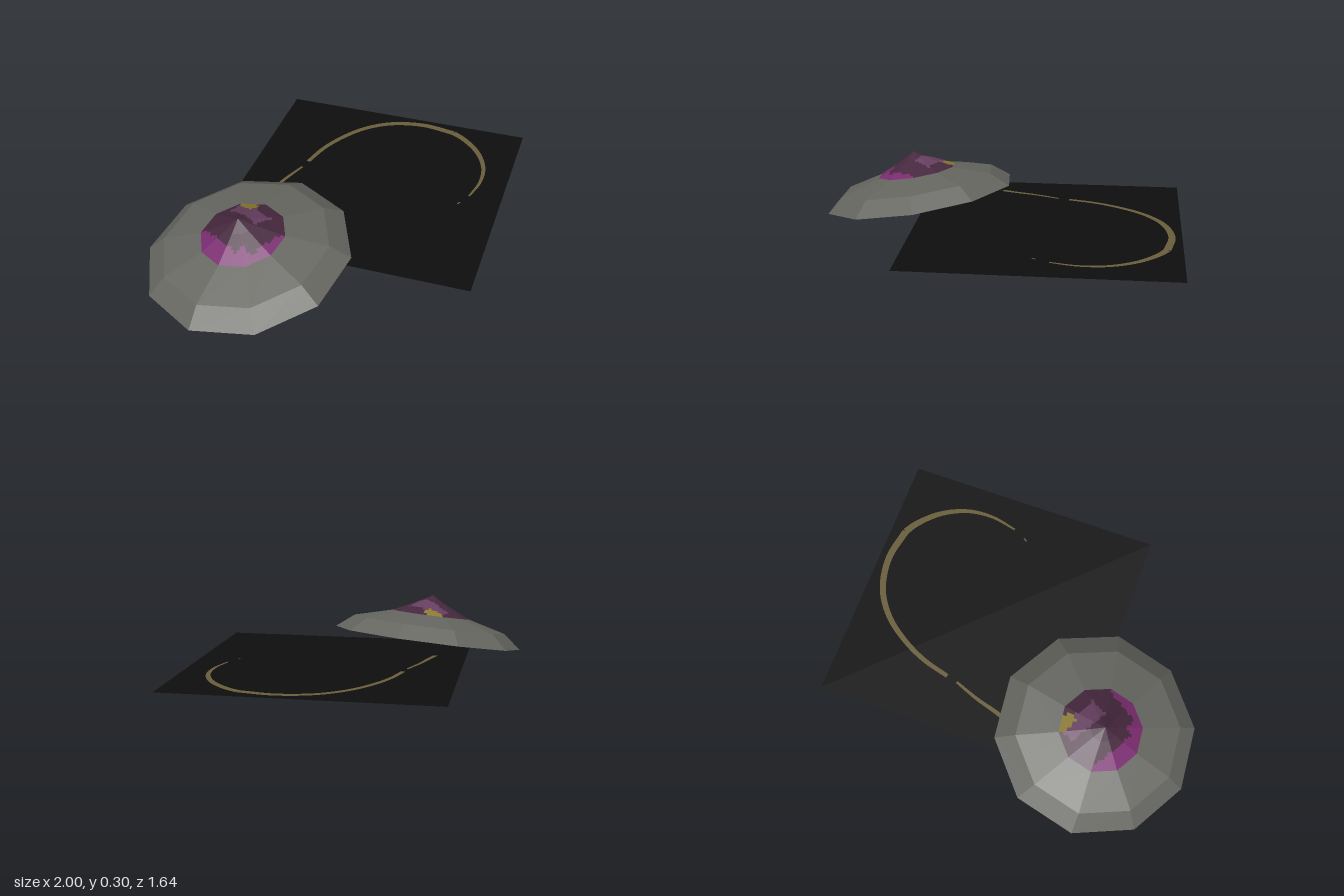
import * as THREE from 'three';

const mat = (name, color, extra = {}) => {
  const m = new THREE.MeshStandardMaterial({ color, ...extra });
  m.name = name;
  return m;
};

const SIDES = 10;

// Point on a ten-sided ring; t is the side index plus the fraction along that side
function ringPoint(r, y, t) {
  const k = Math.floor(t), f = t - k, step = (Math.PI * 2) / SIDES;
  const a = k * step, b = (k + 1) * step;
  return new THREE.Vector3(
    r * (Math.sin(a) * (1 - f) + Math.sin(b) * f), y,
    r * (Math.cos(a) * (1 - f) + Math.cos(b) * f));
}

// Faceted surface through [radius, height] rings, sorted into colour groups by pick(x, z)
function patchwork(profile, bands, cuts, count, pick) {
  const lists = Array.from({ length: count }, () => []);
  const rings = [];
  for (let i = 0; i < profile.length - 1; i++)
    for (let j = 0; j < bands; j++)
      rings.push(profile[i].map((v, n) => THREE.MathUtils.lerp(v, profile[i + 1][n], j / bands)));
  rings.push(profile[profile.length - 1]);
  for (let i = 0; i < rings.length - 1; i++)
    for (let s = 0; s < SIDES * cuts; s++) {
      const t0 = s / cuts, t1 = (s + 1) / cuts - 1e-7;
      const a = ringPoint(...rings[i], t0), b = ringPoint(...rings[i], t1);
      const c = ringPoint(...rings[i + 1], t1), d = ringPoint(...rings[i + 1], t0);
      const list = lists[pick((a.x + b.x + c.x + d.x) / 4, (a.z + b.z + c.z + d.z) / 4)];
      for (const p of [a, b, c]) list.push(p.x, p.y, p.z);
      if (rings[i + 1][0] > 0) for (const p of [a, c, d]) list.push(p.x, p.y, p.z);
    }
  const g = new THREE.BufferGeometry();
  g.setAttribute('position', new THREE.Float32BufferAttribute(lists.flat(), 3));
  let start = 0;
  lists.forEach((l, i) => {
    g.addGroup(start, l.length / 3, i);
    start += l.length / 3;
  });
  g.computeVertexNormals();
  return g;
}

// Flat ribbon along [x, z] points, tapering from width w0 to w1
function ribbon(points, w0, w1) {
  const curve = new THREE.CatmullRomCurve3(points.map(([x, z]) => new THREE.Vector3(x, -z, 0)));
  const n = 48, left = [], right = [];
  for (let i = 0; i <= n; i++) {
    const p = curve.getPointAt(i / n), d = curve.getTangentAt(i / n);
    const w = THREE.MathUtils.lerp(w0, w1, i / n) / 2;
    left.push(new THREE.Vector2(p.x - d.y * w, p.y + d.x * w));
    right.unshift(new THREE.Vector2(p.x + d.y * w, p.y - d.x * w));
  }
  return new THREE.ShapeGeometry(new THREE.Shape([...left, ...right])).rotateX(-Math.PI / 2);
}

export function createModel() {
  const model = new THREE.Group();
  const flat = { flatShading: true };
  const hullGrey = mat('hull grey', 0x666661, flat);
  const plum = mat('dark plum', 0x46283e, flat);
  const magenta = mat('magenta', 0x7a2c70, flat);
  const mauve = mat('mauve', 0x663f60, flat);
  const gold = mat('gold', 0x8c7a30, flat);
  const underGrey = mat('underside grey', 0x424240, flat);
  const olive = mat('olive', 0x5e521f, flat);
  const black = mat('black', 0x0e0e0e, { side: THREE.DoubleSide });
  const tan = mat('tan', 0x6a5e3b, { side: THREE.DoubleSide });

  const add = (parent, name, geometry, material) => {
    const mesh = new THREE.Mesh(geometry, material);
    mesh.name = name;
    parent.add(mesh);
    return mesh;
  };

  // Tilted saucer
  const saucer = new THREE.Group();
  saucer.name = 'saucer';
  saucer.position.set(-0.57, 0.086, 0);
  saucer.rotation.z = Math.atan(0.2);
  model.add(saucer);

  add(saucer, 'rim', new THREE.CylinderGeometry(0.375, 0.461, 0.068, SIDES, 1, true), hullGrey).position.y = 0.034;
  add(saucer, 'upperHull', new THREE.CylinderGeometry(0.19, 0.375, 0.049, SIDES, 1, true), hullGrey).position.y = 0.0925;

  // Pointed cockpit dome with coloured patches
  const domeColour = (x, z) => {
    if (x > 0.1 && x < 0.15 && z > -0.15 && z < -0.06) return 3;
    if (x > 0.045 && x < 0.125 && z > -0.14 && z < 0.05) return 2;
    if (x < -0.1 || (x < -0.06 && z > 0.08) || (z > 0.14 && x < 0.12)) return 1;
    return 0;
  };
  add(saucer, 'dome', patchwork([[0.19, 0.117], [0.06, 0.18], [0, 0.214]], 8, 6, 4, domeColour),
    [plum, magenta, mauve, gold]);

  // Flat underside with a dark panel, a band and fine lattice lines
  const underColour = (x, z) => {
    if (z > 0.29 && x < 0) return 2;
    if ((z > 0.17 && z < 0.29 && x < 0.08) || (z >= 0.29 && x < 0.05)) return 1;
    if (Math.hypot(x - 0.1, z - 0.15) < 0.04 || Math.hypot(x - 0.2, z - 0.07) < 0.03) return 3;
    const wave = 0.025 * Math.sin(x * 40);
    const cell = (v) => Math.abs(v / 0.14 - Math.round(v / 0.14));
    return cell(z + wave) < 0.08 || cell(z - wave) < 0.08 ? 1 : 0;
  };
  const under = patchwork([[0.461, 0], [0, 0]], 44, 18, 4, underColour);
  // Turn the disc to face downward by swapping two corners of each triangle
  const p = under.attributes.position;
  for (let i = 0; i < p.count; i += 3) {
    const b = [p.getX(i + 1), p.getY(i + 1), p.getZ(i + 1)];
    p.setXYZ(i + 1, p.getX(i + 2), p.getY(i + 2), p.getZ(i + 2));
    p.setXYZ(i + 2, ...b);
  }
  under.computeVertexNormals();
  add(saucer, 'underside', under, [underGrey, olive, black, plum]);

  // Turned square sheet
  const sheet = add(model, 'sheet', new THREE.PlaneGeometry(1.2, 1.2).rotateX(-Math.PI / 2), black);
  sheet.position.set(0.18, 0.085, 0);
  sheet.rotation.y = Math.PI / 6;

  // Curved trail painted on both faces of the sheet
  const trails = [
    ribbon([[-0.27, -0.27], [-0.2, -0.285], [-0.1, -0.31], [0.02, -0.33]], 0.022, 0.012),
    ribbon([[0.07, -0.345], [0.2, -0.378], [0.33, -0.387], [0.47, -0.37], [0.6, -0.31], [0.71, -0.19], [0.77, -0.04]], 0.02, 0.034),
    ribbon([[0.77, -0.04], [0.768, 0.03], [0.735, 0.15], [0.66, 0.26], [0.56, 0.33], [0.44, 0.37]], 0.034, 0.01),
    ribbon([[0.355, 0.373], [0.375, 0.374]], 0.007, 0.007),
  ];
  for (const g of trails)
    for (const lift of [0.003, -0.003]) add(model, 'trail', g, tan).position.y = 0.085 + lift;

  return model;
}
